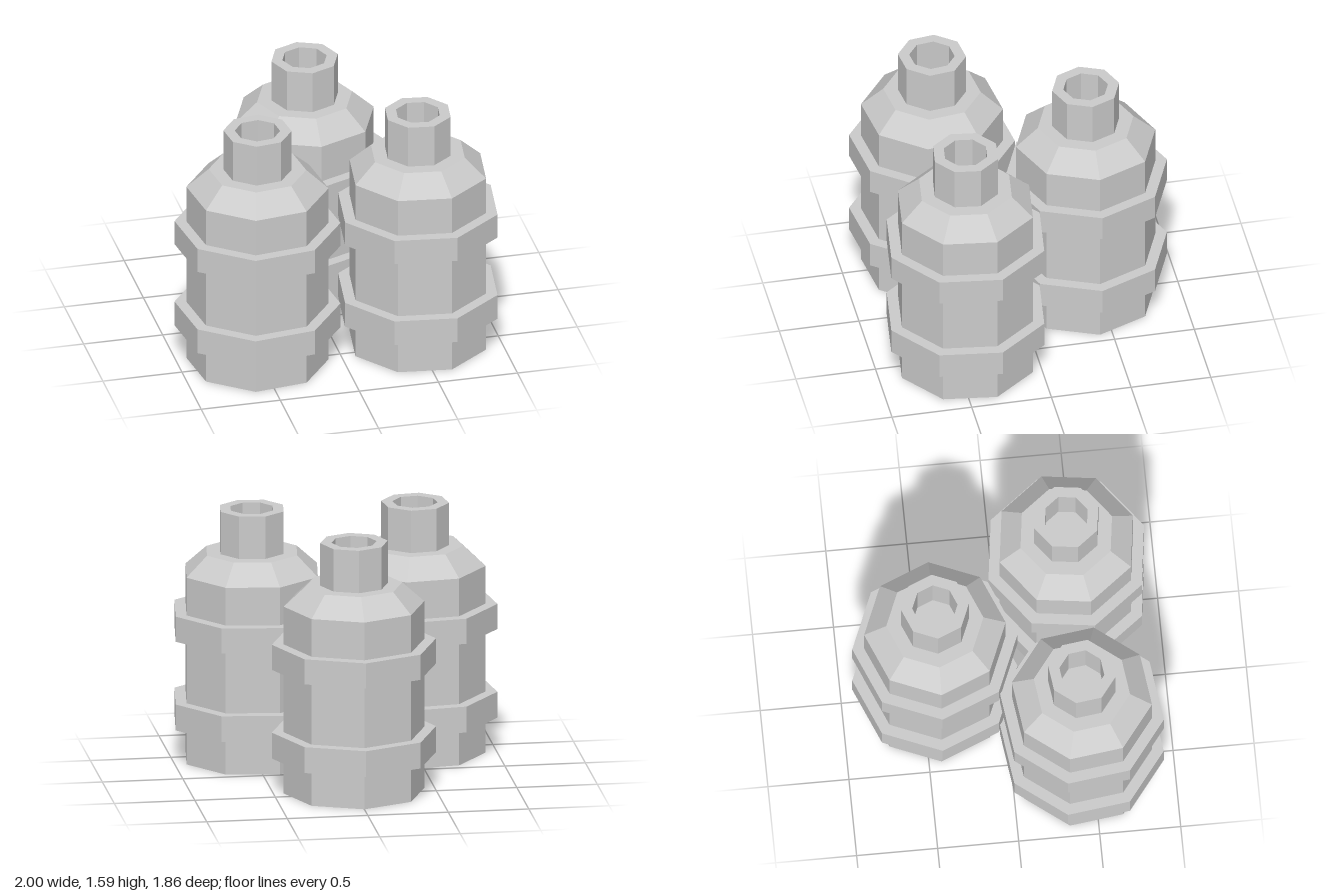
import * as THREE from 'three';

const SIDES = 8;
const material = new THREE.MeshStandardMaterial({ color: 0xcccccc, flatShading: true });

// Faceted solid of revolution from [radius, height] pairs
function turned(name, profile) {
  const points = profile.map(([r, y]) => new THREE.Vector2(r, y));
  const geometry = new THREE.LatheGeometry(points, SIDES).toNonIndexed();
  geometry.computeVertexNormals();
  const mesh = new THREE.Mesh(geometry, material);
  mesh.name = name;
  return mesh;
}

// Raised square-edged ring around the body
function band(name, y0, y1) {
  return turned(name, [[0.42, y0], [0.51, y0], [0.51, y1], [0.42, y1]]);
}

function bottle(name, x, z, turn) {
  const group = new THREE.Group();
  group.name = name;
  group.add(
    // Closed base, straight wall, sloped shoulder and flat top
    turned('body', [[0, 0], [0.437, 0], [0.437, 1.19], [0.3, 1.315], [0, 1.315]]),
    // Hollow neck with an open mouth
    turned('neck', [[0.21, 1.315], [0.21, 1.585], [0.14, 1.585], [0.14, 1.32], [0, 1.32]]),
    band('lowerBand', 0.225, 0.39),
    band('upperBand', 0.79, 0.95)
  );
  group.position.set(x, 0, z);
  group.rotation.y = THREE.MathUtils.degToRad(turn);
  return group;
}

export function createModel() {
  const model = new THREE.Group();
  model.name = 'bottleCluster';
  model.add(bottle('backBottle', 0, -0.422, 0));
  // Front pair, mirrored across the centre
  for (const side of [-1, 1]) {
    model.add(bottle(side > 0 ? 'leftBottle' : 'rightBottle', side * 0.507, 0.437, side * -30));
  }
  return model;
}
